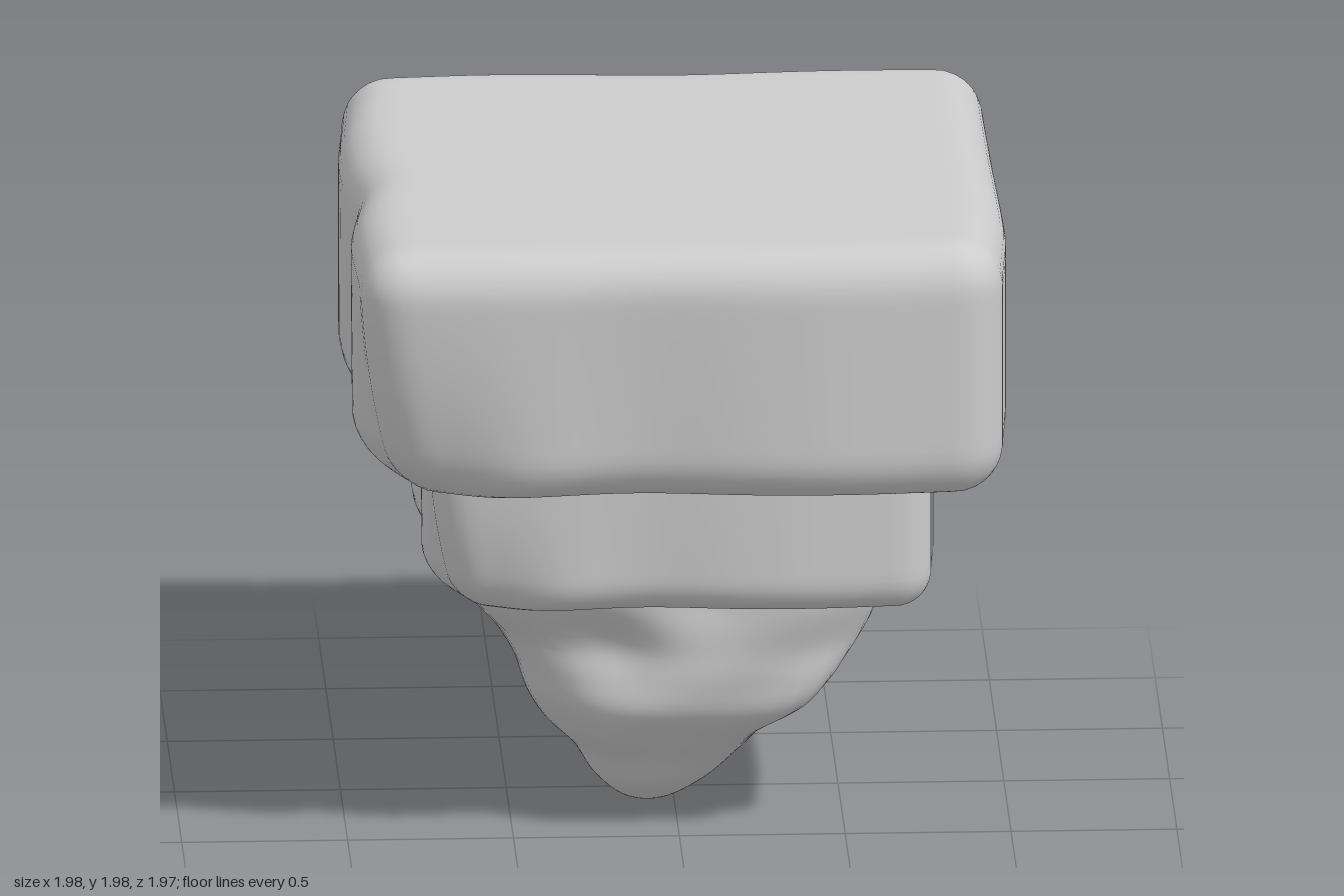
import * as THREE from 'three';
import { mergeVertices } from 'three/addons/utils/BufferGeometryUtils.js';

const bump = (v, centre, width) => Math.exp(-(((v - centre) / width) ** 2));
const smooth = THREE.MathUtils.smoothstep;

// Weld the seams so the shading is smooth all over
function weld(geometry) {
  geometry.deleteAttribute('uv');
  geometry.deleteAttribute('normal');
  const welded = mergeVertices(geometry, 1e-4);
  welded.computeVertexNormals();
  return welded;
}

// Wear of the upright corners: x side, z side, inward shift at top and at bottom
const wornCorners = [
  [-1, 1, 0.01, 0.13],
  [-1, -1, 0.03, 0.05],
  [1, -1, 0.01, 0.05],
  [1, 1, 0.03, 0.03],
];

// Worn stone slab: a rounded box with shallow dents in its sides
function slab(half, bottom, top, radius) {
  const height = top - bottom, mid = (top + bottom) / 2;
  const geometry = new THREE.BoxGeometry(half * 2, height, half * 2, 48, 24, 48);
  const pos = geometry.attributes.position;
  const p = new THREE.Vector3(), inner = new THREE.Vector3();
  const limit = new THREE.Vector3(half - radius, height / 2 - radius, half - radius);
  for (let i = 0; i < pos.count; i++) {
    p.fromBufferAttribute(pos, i);
    inner.copy(p).clamp(limit.clone().negate(), limit);
    p.sub(inner).setLength(radius).add(inner);

    const u = p.x / half, w = p.z / half;
    const low = 0.5 - p.y / height;
    const back = smooth(-w, 0.2, 1), front = smooth(w, 0.2, 1);
    const left = smooth(-u, 0.2, 1), right = smooth(u, 0.2, 1);
    // Dents in the four sides
    p.z += back * (0.03 + 0.06 * low) * bump(u, 0.05, 0.32) * half;
    p.z -= front * (0.01 + 0.04 * low) * bump(u, -0.15, 0.3) * half;
    p.x += left * (0.03 + 0.03 * low) * bump(w, 0.1, 0.2) * half;
    p.x -= right * 0.012 * bump(w, -0.4, 0.5) * half;
    // Corners rounded off
    for (const [sx, sz, upper, lower] of wornCorners) {
      const near = smooth(u * sx + w * sz - 1, 0.35, 0.95);
      const shift = near * (upper + (lower - upper) * low ** 2) * half;
      p.x -= sx * shift;
      p.z -= sz * shift;
    }
    // One rear corner sags
    p.y -= 0.05 * low * smooth(u, 0, 0.8) * smooth(-w, 0.1, 0.8);
    pos.setXYZ(i, p.x, p.y + mid, p.z);
  }
  return weld(geometry);
}

// Hanging rock: levels of y, x from, x to, z from, z to, squareness
const levels = [
  [0.0, -0.1, -0.06, 0.05, 0.09, 2],
  [0.02, -0.17, 0.01, -0.04, 0.19, 2],
  [0.1, -0.25, 0.12, -0.12, 0.32, 2.1],
  [0.2, -0.31, 0.22, -0.17, 0.4, 2.2],
  [0.3, -0.4, 0.31, -0.22, 0.49, 2.3],
  [0.4, -0.46, 0.45, -0.33, 0.57, 2.5],
  [0.5, -0.5, 0.54, -0.44, 0.59, 2.8],
  [0.6, -0.56, 0.6, -0.56, 0.6, 3.2],
  [0.75, -0.66, 0.63, -0.62, 0.64, 4.2],
  [0.95, -0.7, 0.64, -0.65, 0.66, 4.5],
];

function hangingRock() {
  const around = 72, rows = 54;
  const curves = [1, 2, 3, 4, 5].map((k) =>
    new THREE.CatmullRomCurve3(levels.map((l) => new THREE.Vector3(l[0], l[k], 0)), false, 'centripetal'));
  const points = [-0.08, 0, 0.07], index = [];
  for (let r = 0; r < rows; r++) {
    const at = curves.map((c) => c.getPoint(r / (rows - 1)));
    const y = at[0].x;
    const [x0, x1, z0, z1, n] = at.map((q) => q.y);
    for (let a = 0; a < around; a++) {
      const t = (a / around) * Math.PI * 2, c = Math.cos(t), s = Math.sin(t);
      const k = (Math.abs(c) ** n + Math.abs(s) ** n) ** (-1 / n);
      const body = smooth(y, 0.1, 0.45);
      // Hollows and ridges cut into the sides
      const hollow = 0.13 * bump(t, 2.0, 0.28) * bump(y, 0.62, 0.15)
        + 0.1 * bump(t, 1.45, 0.35) * bump(y, 0.8, 0.14)
        - 0.11 * bump(t, 0.88, 0.22) * bump(y, 0.4, 0.18)
        + 0.08 * bump(t, 4.55, 0.3) * bump(y, 0.75, 0.2)
        + 0.05 * bump(t, 3.35, 0.3) * bump(y, 0.6, 0.2)
        + 0.05 * bump(t, 0.45, 0.2) * bump(y, 0.45, 0.15)
        + 0.015 * body * Math.sin(5 * t + 7 * y) * Math.sin(9 * y + 2 * t);
      const f = k * (1 - hollow);
      points.push((x0 + x1) / 2 + ((x1 - x0) / 2) * c * f, y, (z0 + z1) / 2 + ((z1 - z0) / 2) * s * f);
      const b = (a + 1) % around, i = 1 + r * around;
      if (r === 0) index.push(0, i + a, i + b);
      else index.push(i + a, i + b, i + a - around, i + b, i + b - around, i + a - around);
    }
  }
  // Close the upper end, which sits inside the slab above
  const last = 1 + (rows - 1) * around;
  for (let a = 1; a < around - 1; a++) index.push(last, last + a + 1, last + a);
  const geometry = new THREE.BufferGeometry();
  geometry.setAttribute('position', new THREE.Float32BufferAttribute(points, 3));
  geometry.setIndex(index);
  geometry.computeVertexNormals();
  return geometry;
}

export function createModel() {
  const group = new THREE.Group();
  group.name = 'floatingIsland';
  const material = new THREE.MeshStandardMaterial({ color: 0xcccccc });
  const add = (name, geometry) => {
    const mesh = new THREE.Mesh(geometry, material);
    mesh.name = name;
    group.add(mesh);
  };
  add('topSlab', slab(0.99, 1.185, 1.98, 0.15));
  add('middleSlab', slab(0.775, 0.77, 1.4, 0.11));
  add('hangingRock', hangingRock());
  return group;
}
